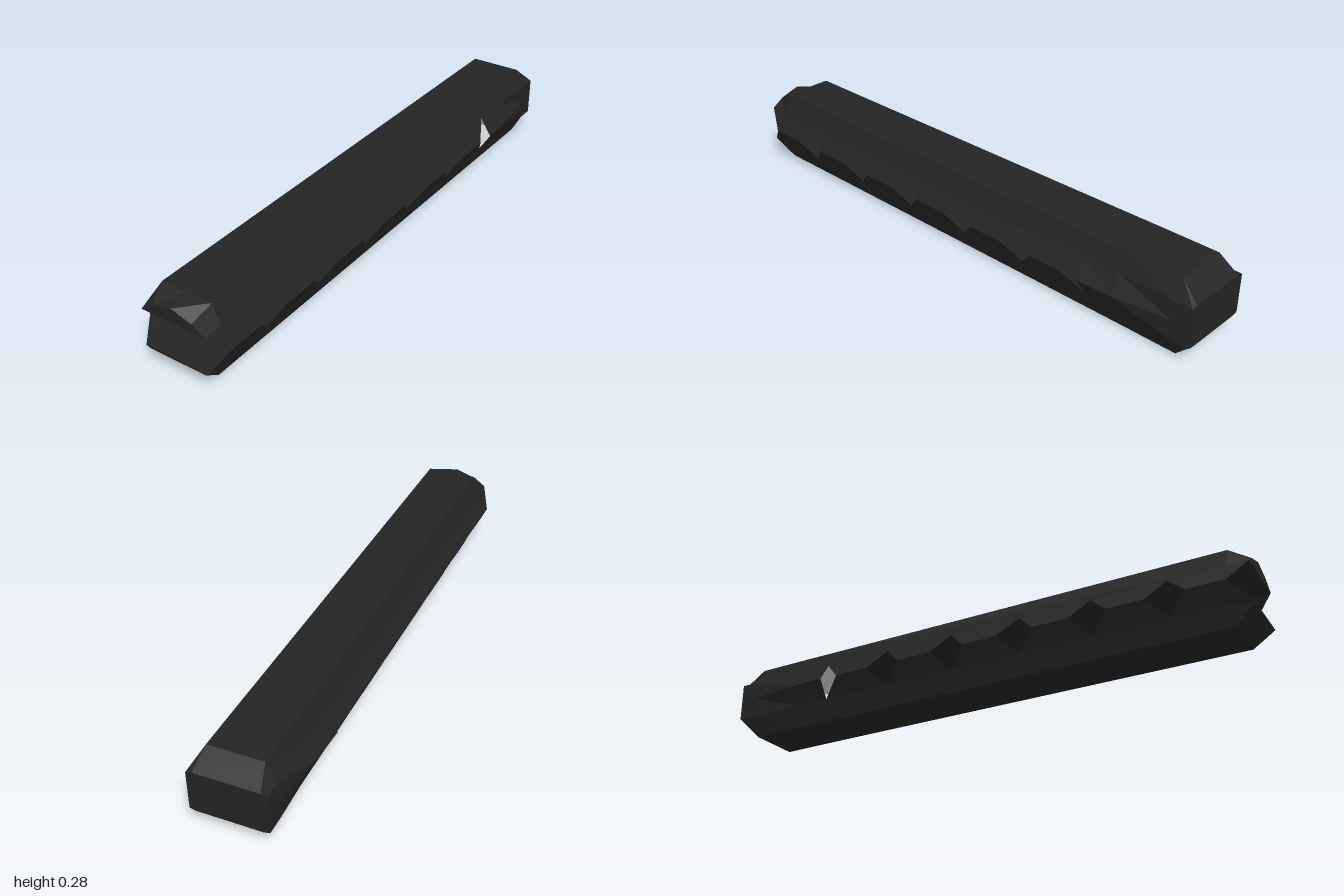
import * as THREE from 'three';

const dark = new THREE.MeshStandardMaterial({ color: 0x242424, flatShading: true, side: THREE.DoubleSide });
const pale = new THREE.MeshStandardMaterial({ color: 0xcccccc, flatShading: true, side: THREE.DoubleSide });

function facetMesh(name, triangles, material) {
  const geometry = new THREE.BufferGeometry();
  geometry.setAttribute('position', new THREE.Float32BufferAttribute(triangles.flat(2), 3));
  geometry.computeVertexNormals();
  const mesh = new THREE.Mesh(geometry, material);
  mesh.name = name;
  return mesh;
}

const quad = (a, b, c, d) => [[a, b, c], [a, c, d]];

// Mirrors a right-hand outline (listed bottom to top) into a closed ring
function ring(z, half) {
  const left = half.filter(([x]) => x > 0).reverse().map(([x, y]) => [-x, y]);
  return [...half, ...left].map(([x, y]) => [x, y, z]);
}

// Joins rings from back to front, with optional end caps
function loft(name, rings, capBack, capFront) {
  const tris = [];
  const n = rings[0].length;
  for (let r = 0; r < rings.length - 1; r++) {
    const a = rings[r], b = rings[r + 1];
    for (let i = 0; i < n; i++) {
      const j = (i + 1) % n;
      tris.push(...quad(a[i], a[j], b[j], b[i]));
    }
  }
  const back = rings[0], front = rings[rings.length - 1];
  for (let i = 1; i < n - 1; i++) {
    if (capBack) tris.push([back[0], back[i + 1], back[i]]);
    if (capFront) tris.push([front[0], front[i], front[i + 1]]);
  }
  return facetMesh(name, tris, dark);
}

const PITCH = 4 / 15, HOLE = 0.067, REAR = -0.6;
const LOW = 0.08, MID = 0.147, HIGH = 0.215;
const EDGE = 0.122, BULGE = 0.16;

export function createModel() {
  const group = new THREE.Group();

  // Solid upper and lower rails with bevelled front tips
  group.add(loft('upperRail', [
    ring(REAR, [[EDGE, HIGH], [0.095, 0.281], [0, 0.281]]),
    ring(0.93, [[EDGE, HIGH], [0.095, 0.285], [0, 0.285]]),
    ring(1, [[EDGE, HIGH], [0.075, 0.245], [0, 0.268]]),
  ], true, true));
  group.add(loft('lowerRail', [
    ring(REAR, [[0.093, 0.006], [EDGE, LOW]]),
    ring(0.93, [[0.093, 0.015], [EDGE, LOW]]),
    ring(1, [[0.11, 0.074], [EDGE, LOW]]),
  ], true, true));

  // Thin folded side webs; the gaps between them form diamond openings
  for (const side of [-1, 1]) {
    for (let i = 0; i < 6; i++) {
      const front = 1 - i * PITCH, back = front - PITCH;
      const tris = [];
      for (const y of [LOW, HIGH]) {
        const q = [
          [side * EDGE, y, front], [side * EDGE, y, back],
          [side * BULGE, MID, back + HOLE], [side * BULGE, MID, front - HOLE],
        ];
        if ((y === HIGH) !== (side > 0)) q.reverse();
        tris.push(...quad(...q));
      }
      group.add(facetMesh('sideWeb', tris, dark));
    }
  }

  // Closed rear block tapering to a bevelled end
  group.add(loft('rearBlock', [
    ring(-1, [[0.11, 0.07], [0.132, 0.075], [0.132, MID], [0.132, HIGH], [0.11, 0.22]]),
    ring(-0.935, [[0.093, 0.003], [0.132, 0.075], [0.136, MID], [0.132, HIGH], [0.095, 0.28]]),
    ring(-0.73, [[0.093, 0.005], [0.124, LOW], [0.16, MID], [0.124, HIGH], [0.095, 0.281]]),
    ring(REAR, [[0.093, 0.006], [EDGE, LOW], [0.165, MID], [EDGE, HIGH], [0.095, 0.281]]),
  ], true, false));

  // Pale V-shaped recess closing the channel at the rear
  const fold = [[-0.162, MID, REAR - HOLE], [0.162, MID, REAR - HOLE]];
  group.add(facetMesh('rearRecess', [
    ...quad([-EDGE, LOW, REAR], [EDGE, LOW, REAR], fold[1], fold[0]),
    ...quad(fold[0], fold[1], [EDGE, HIGH, REAR], [-EDGE, HIGH, REAR]),
  ], pale));

  return group;
}
